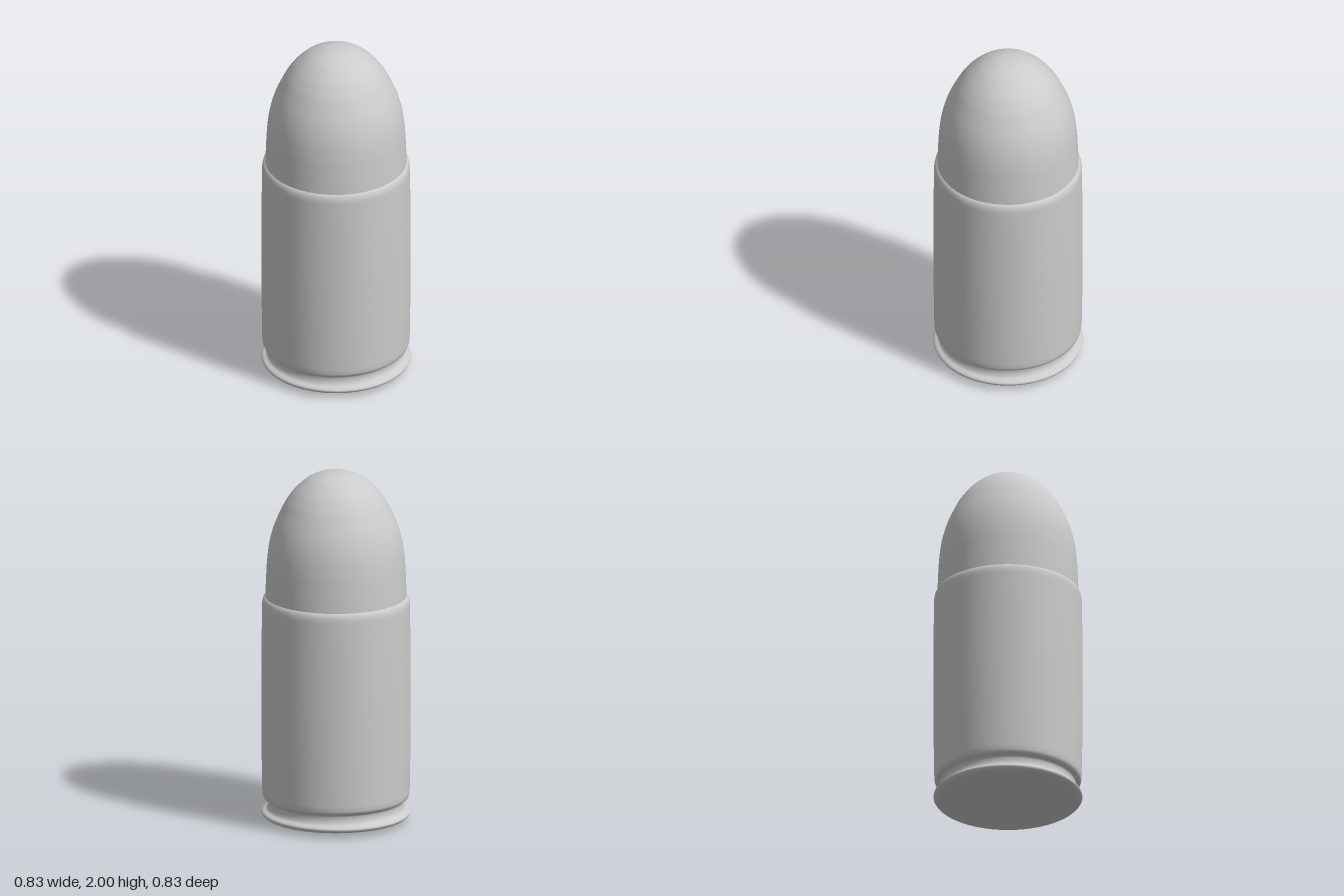
import * as THREE from 'three';

const SEGMENTS = 72;
const toPoints = (list) => list.map(([r, y]) => new THREE.Vector2(r, y));

export function createModel() {
  const group = new THREE.Group();
  const material = new THREE.MeshStandardMaterial({ color: 0xcccccc });

  // Profiles run from bottom to top as [radius, height]
  const addTurned = (name, points) => {
    const mesh = new THREE.Mesh(new THREE.LatheGeometry(points, SEGMENTS), material);
    mesh.name = name;
    group.add(mesh);
  };

  // Shallow domed underside
  addTurned('base', toPoints([[0, 0], [0.2, 0.006], [0.35, 0.016], [0.395, 0.026]]));

  // Rounded rim, extractor groove and shoulder
  addTurned('rim', new THREE.SplineCurve(toPoints([
    [0.395, 0.026], [0.409, 0.036], [0.413, 0.048], [0.405, 0.058], [0.386, 0.068],
    [0.377, 0.085], [0.375, 0.105], [0.379, 0.12], [0.393, 0.13],
  ])).getPoints(32));

  // Straight case wall with softened edges and a turned-in mouth
  addTurned('case', toPoints([
    [0.393, 0.13], [0.402, 0.136], [0.407, 0.15], [0.409, 0.18], [0.413, 0.45], [0.414, 0.7],
    [0.413, 0.95], [0.41, 1.23], [0.409, 1.25], [0.405, 1.268], [0.398, 1.28], [0.388, 1.287],
  ]));

  // Ogive nose, seated slightly inside the mouth; last point leaves a level tip
  addTurned('nose', new THREE.SplineCurve(toPoints([
    [0.392, 1.25], [0.391, 1.3], [0.387, 1.4], [0.381, 1.5], [0.367, 1.6], [0.338, 1.7],
    [0.292, 1.8], [0.262, 1.85], [0.222, 1.9], [0.165, 1.95], [0.115, 1.977], [0.06, 1.995], [0, 2],
  ])).getPoints(60));

  return group;
}
